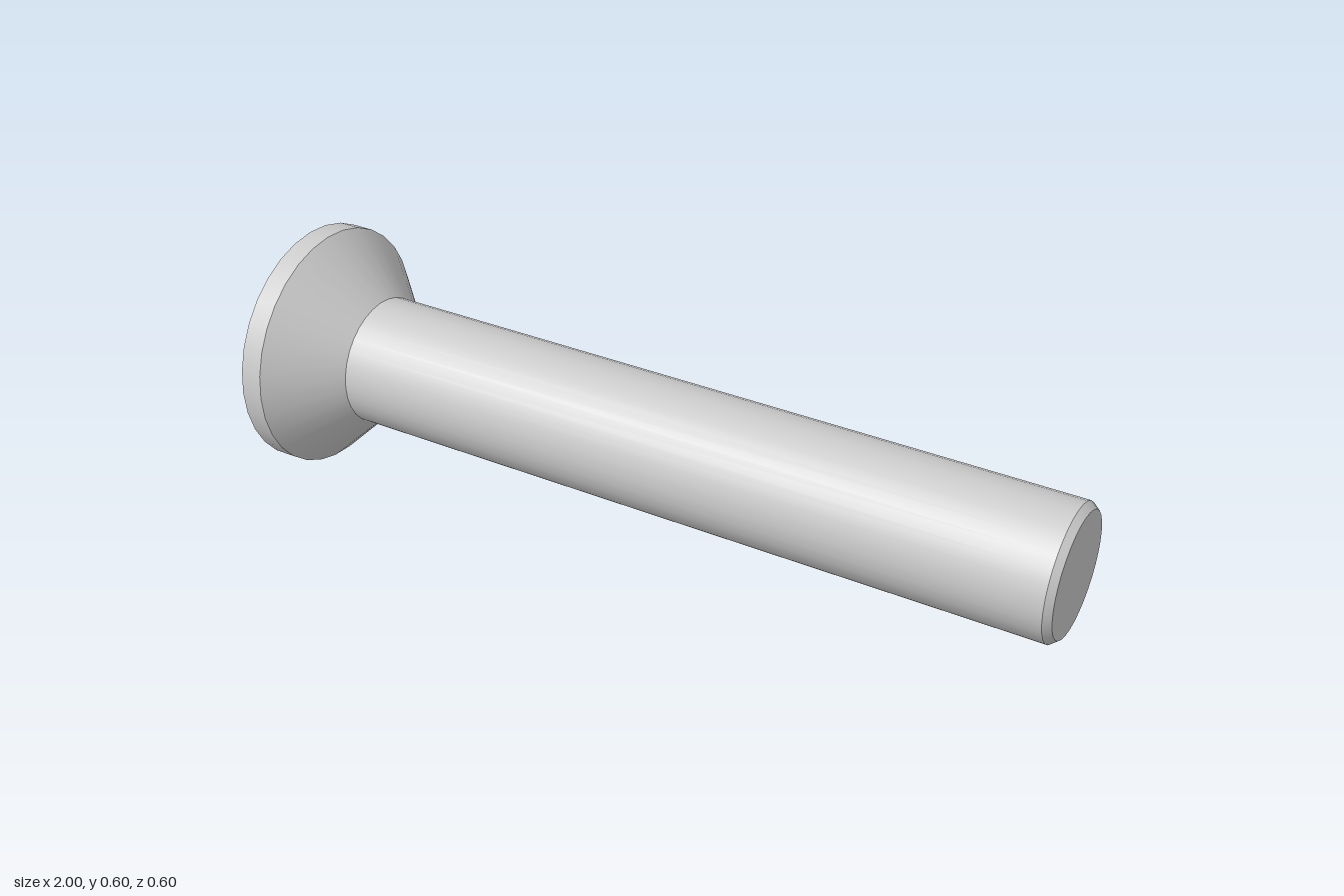
import * as THREE from 'three';

const SIDES = 32;
const HEAD_R = 0.302, SHANK_R = 0.159, TIP_R = 0.145;
const SOCKET_R = 0.121, SOCKET_DEPTH = 0.13;

// Regular polygon points, first corner on +x
const ring = (radius, sides) => Array.from({ length: sides }, (_, i) => {
  const a = (i / sides) * Math.PI * 2;
  return new THREE.Vector2(Math.cos(a) * radius, Math.sin(a) * radius);
});

export function createModel() {
  const model = new THREE.Group();
  model.name = 'countersunkScrew';
  const material = new THREE.MeshStandardMaterial({ color: 0xcccccc });
  const facetMaterial = new THREE.MeshStandardMaterial({
    color: 0xcccccc, flatShading: true, side: THREE.DoubleSide,
  });

  // Parts are built along local +y, then the screw is laid along +x
  const screw = new THREE.Group();
  screw.name = 'screw';
  screw.rotation.z = -Math.PI / 2;
  screw.position.y = HEAD_R;
  model.add(screw);

  const add = (name, geometry, mat = material) => {
    const mesh = new THREE.Mesh(geometry, mat);
    mesh.name = name;
    screw.add(mesh);
  };

  // One lathe per section keeps the edges between sections sharp
  const sections = [
    ['headRim', HEAD_R, -1, HEAD_R, -0.945],
    ['headCone', HEAD_R, -0.945, SHANK_R, -0.8],
    ['shank', SHANK_R, -0.8, SHANK_R, 0.983],
    ['tipChamfer', SHANK_R, 0.983, TIP_R, 1],
  ];
  for (const [name, r0, y0, r1, y1] of sections) {
    add(name, new THREE.LatheGeometry(
      [new THREE.Vector2(r0, y0), new THREE.Vector2(r1, y1)], SIDES));
  }

  // Flat end of the shank
  add('tipFace', new THREE.CircleGeometry(TIP_R, SIDES)
    .rotateX(-Math.PI / 2).translate(0, 1, 0));

  // Head face with the hexagonal opening
  const face = new THREE.Shape(ring(HEAD_R, SIDES));
  face.holes.push(new THREE.Path(ring(SOCKET_R, 6).reverse()));
  add('headFace', new THREE.ShapeGeometry(face)
    .rotateX(Math.PI / 2).translate(0, -1, 0));

  // Hex socket walls and floor
  add('socketWalls', new THREE.CylinderGeometry(
    SOCKET_R, SOCKET_R, SOCKET_DEPTH, 6, 1, true, Math.PI / 2)
    .translate(0, -1 + SOCKET_DEPTH / 2, 0), facetMaterial);
  add('socketFloor', new THREE.CircleGeometry(SOCKET_R, 6)
    .rotateX(Math.PI / 2).translate(0, -1 + SOCKET_DEPTH, 0));

  return model;
}
